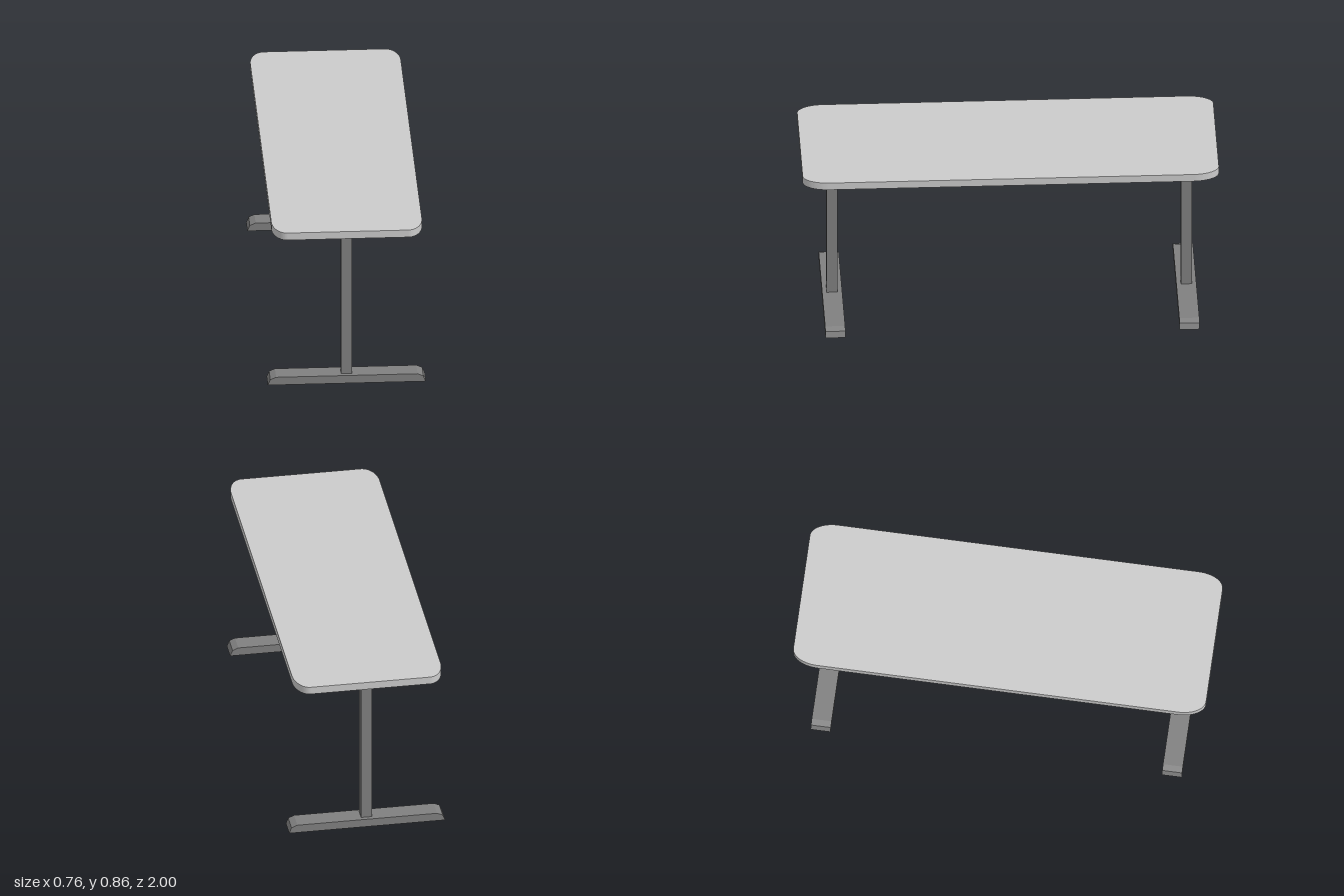
import * as THREE from 'three';
import { toCreasedNormals } from 'three/addons/utils/BufferGeometryUtils.js';

const HALF_W = 0.362, HALF_L = 1, TOP_Y = 0.86, UNDER_Y = 0.822;

// Rectangle with elliptical corners, lying flat
function createTop(material) {
  const rx = 0.072, rz = 0.125;
  const shape = new THREE.Shape();
  const corners = [[1, 1], [-1, 1], [-1, -1], [1, -1]];
  shape.moveTo(HALF_W, HALF_L - rz);
  corners.forEach(([sx, sy], i) => {
    const start = i * Math.PI / 2;
    shape.absellipse(sx * (HALF_W - rx), sy * (HALF_L - rz), rx, rz, start, start + Math.PI / 2, false, 0);
  });
  shape.closePath();
  const geometry = new THREE.ExtrudeGeometry(shape, { depth: TOP_Y - UNDER_Y, bevelEnabled: false, curveSegments: 12 });
  geometry.rotateX(-Math.PI / 2).translate(0, UNDER_Y, 0);
  const top = new THREE.Mesh(toCreasedNormals(geometry, 0.6), material);
  top.name = 'tableTop';
  return top;
}

// Square post standing on a foot with chamfered ends
function createLeg(name, z, material) {
  const leg = new THREE.Group();
  leg.name = name;

  const half = [[0.38, 0], [0.368, 0.029], [0.34, 0.041]];
  const mirrored = half.map(([x, y]) => [-x, y]).reverse();
  const profile = [...half, ...mirrored].map(([x, y]) => new THREE.Vector2(x, y));
  const depth = 0.096;
  const footGeometry = new THREE.ExtrudeGeometry(new THREE.Shape(profile), { depth, bevelEnabled: false });
  footGeometry.translate(0, 0, -depth / 2);
  const foot = new THREE.Mesh(footGeometry, material);
  foot.name = 'foot';

  const height = UNDER_Y - 0.041;
  const post = new THREE.Mesh(new THREE.BoxGeometry(0.053, height, 0.053), material);
  post.name = 'post';
  post.position.y = 0.041 + height / 2;

  leg.add(foot, post);
  leg.position.z = z;
  return leg;
}

export function createModel() {
  const model = new THREE.Group();
  model.name = 'table';
  const topMaterial = new THREE.MeshStandardMaterial({ color: 0xcccccc });
  const legMaterial = new THREE.MeshStandardMaterial({ color: 0x808080 });
  model.add(
    createTop(topMaterial),
    createLeg('frontLeg', 0.846, legMaterial),
    createLeg('backLeg', -0.856, legMaterial),
  );
  return model;
}
